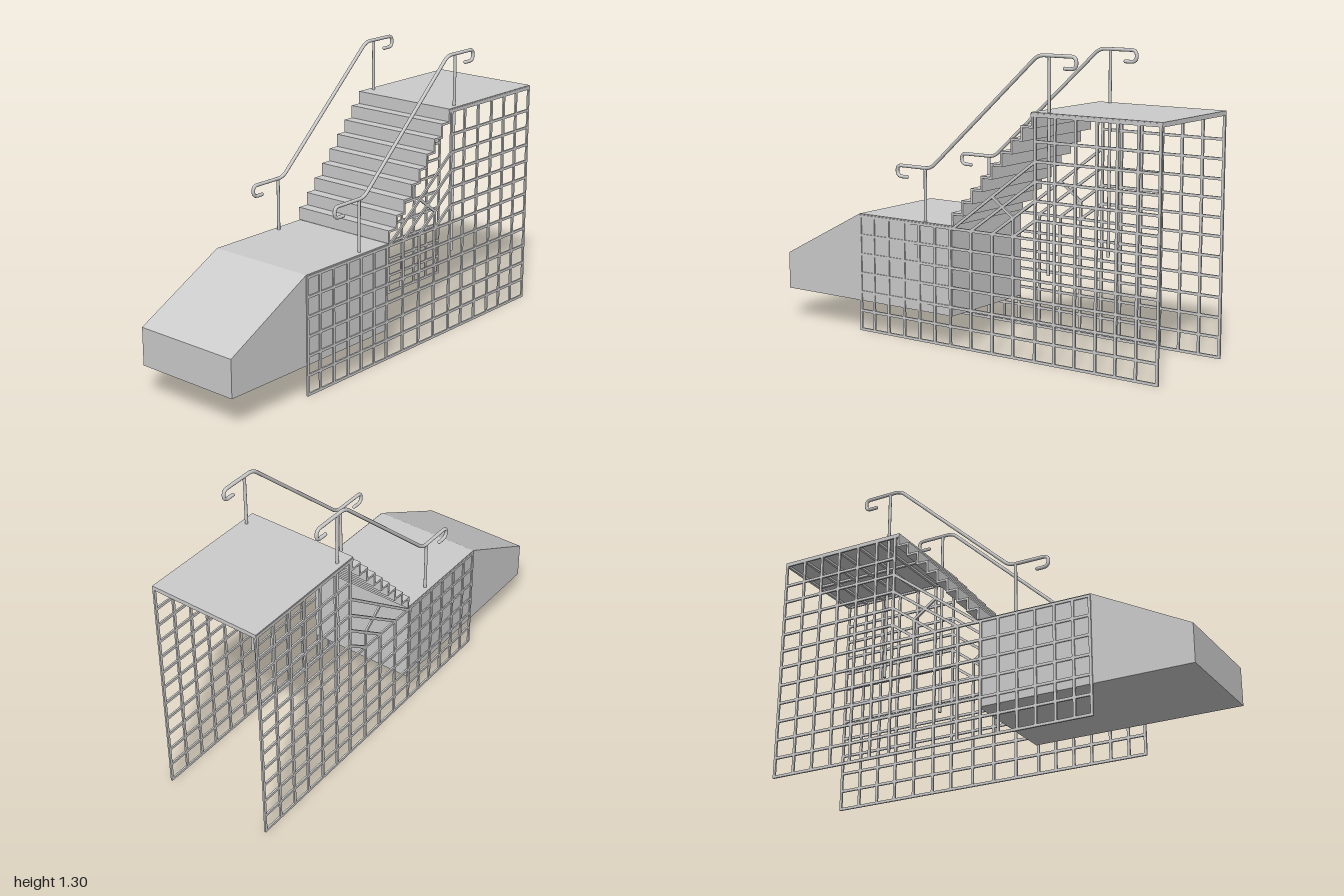
import * as THREE from 'three';
import { mergeGeometries } from 'three/addons/utils/BufferGeometryUtils.js';

const material = new THREE.MeshStandardMaterial({ color: 0xcccccc });
const HALF = 0.258; // half width of the stair
const V = (z, y) => new THREE.Vector3(0, y, z);

function mesh(name, geometry) {
  const m = new THREE.Mesh(geometry, material);
  m.name = name;
  return m;
}

// Side profile of [z, y] points, extruded across the width
function profile(points, width) {
  const shape = new THREE.Shape(points.map(([z, y]) => new THREE.Vector2(z, y)));
  const g = new THREE.ExtrudeGeometry(shape, { depth: width, bevelEnabled: false });
  return g.translate(0, 0, -width / 2).rotateY(-Math.PI / 2);
}

// Flat bar in the side plane between two [z, y] points
function bar(z0, y0, z1, y1, thick = 0.012) {
  const length = Math.hypot(z1 - z0, y1 - y0);
  const g = new THREE.BoxGeometry(0.008, thick, length + thick * 0.8);
  g.rotateX(-Math.atan2(y1 - y0, z1 - z0));
  return g.translate(0, (y0 + y1) / 2, (z0 + z1) / 2);
}

// Path of straight runs with rounded corners; points are [z, y, radius]
function roundedPath(points) {
  const path = new THREE.CurvePath();
  let from = V(points[0][0], points[0][1]);
  for (let i = 1; i < points.length; i++) {
    const p = V(points[i][0], points[i][1]);
    if (i === points.length - 1) {
      path.add(new THREE.LineCurve3(from, p));
      break;
    }
    const r = points[i][2];
    const prev = V(points[i - 1][0], points[i - 1][1]);
    const next = V(points[i + 1][0], points[i + 1][1]);
    const a = p.clone().add(prev.sub(p).setLength(r));
    const b = p.clone().add(next.sub(p).setLength(r));
    if (from.distanceTo(a) > 1e-4) path.add(new THREE.LineCurve3(from, a));
    path.add(new THREE.QuadraticBezierCurve3(a, p, b));
    from = b;
  }
  return path;
}

function sideLattice() {
  const bars = [];
  const low = [0.008, 0.095, 0.181, 0.268, 0.355, 0.442, 0.529];
  const high = [0.61, 0.692, 0.773, 0.857, 0.94];
  const front = [0.555, 0.478, 0.393, 0.303, 0.217, 0.13, 0.045];
  const middle = [-0.067, -0.18, -0.288];
  const back = [-0.4, -0.497, -0.598, -0.7, -0.796, -0.893, -0.993];

  // Horizontals
  low.forEach((y) => bars.push(bar(0.555, y, -0.993, y)));
  high.forEach((y) => bars.push(bar(-0.4, y, -0.993, y)));
  bars.push(bar(-0.385, 1.048, -0.993, 1.048, 0.015));
  // Verticals
  [...front, ...middle].forEach((z) => bars.push(bar(z, 0.008, z, 0.529)));
  back.forEach((z) => bars.push(bar(z, 0.008, z, 1.048)));
  // Braces running parallel to the steps
  [0.03, ...middle].forEach((z, i) => bars.push(bar(z, 0.529, -0.4, high[3 - i])));
  bars.push(bar(-0.18, 0.69, -0.288, 0.61));
  bars.push(bar(-0.288, 0.61, -0.288, 0.529));
  return mergeGeometries(bars);
}

function handrail() {
  const group = new THREE.Group();
  const path = roundedPath([
    [0.303, 0.726], [0.357, 0.726, 0.026], [0.357, 0.775, 0.023],
    [0.17, 0.775, 0.03], [-0.395, 1.293, 0.03], [-0.581, 1.293, 0.024],
    [-0.581, 1.243, 0.024], [-0.525, 1.243],
  ]);
  group.add(mesh('railTube', new THREE.TubeGeometry(path, 180, 0.008, 10, false)));
  // Closed rail ends
  [[0.303, 0.726, 0], [-0.525, 1.243, 0]].forEach(([z, y]) => {
    const cap = mesh('railEnd', new THREE.SphereGeometry(0.008, 10, 8));
    cap.position.set(0, y, z);
    group.add(cap);
  });
  // Posts
  [[0.2, 0.53, 0.775], [-0.45, 0.38, 1.293]].forEach(([z, y0, y1]) => {
    const post = mesh('railPost', new THREE.CylinderGeometry(0.007, 0.007, y1 - y0, 10));
    post.position.set(0, (y0 + y1) / 2, z);
    group.add(post);
  });
  return group;
}

export function createModel() {
  const model = new THREE.Group();

  // Solid lower landing with a sloped nose
  model.add(mesh('lowerLanding', profile(
    [[1, 0.14], [1, 0.31], [0.56, 0.54], [0.035, 0.54], [0.035, 0.14]], HALF * 2)));

  // Folded sheet of nine risers ending in the upper platform
  const run = 0.0518, rise = 0.0577, t = 0.01;
  const upper = [], under = [];
  for (let i = 0; i < 9; i++) {
    const z = 0.036 - i * run, y = 0.541 + i * rise;
    upper.push([z, y], [z, y + rise]);
    under.push([z - t, y - (i ? t : 0)], [z - t, y + rise - t]);
  }
  upper.push([-1, 1.06]);
  under.push([-1, 1.05]);
  model.add(mesh('stepsAndPlatform', profile([...upper, ...under.reverse()], 0.522)));

  // Bearers beneath the platform
  for (const z of [-0.4, -0.497, -0.598, -0.7, -0.796, -0.893, -0.993]) {
    const bearer = mesh('platformBearer', new THREE.BoxGeometry(0.512, 0.012, 0.012));
    bearer.position.set(0, 1.046, z);
    model.add(bearer);
  }
  const spine = mesh('platformSpine', new THREE.BoxGeometry(0.012, 0.012, 0.6));
  spine.position.set(0, 1.046, -0.695);
  model.add(spine);

  // Mirrored lattices and handrails
  for (const side of [1, -1]) {
    const label = side > 0 ? 'left' : 'right';
    const lattice = mesh(label + 'Lattice', sideLattice());
    lattice.position.x = side * 0.259;
    const rail = handrail();
    rail.name = label + 'Handrail';
    rail.position.x = side * 0.234;
    model.add(lattice, rail);
  }
  return model;
}
